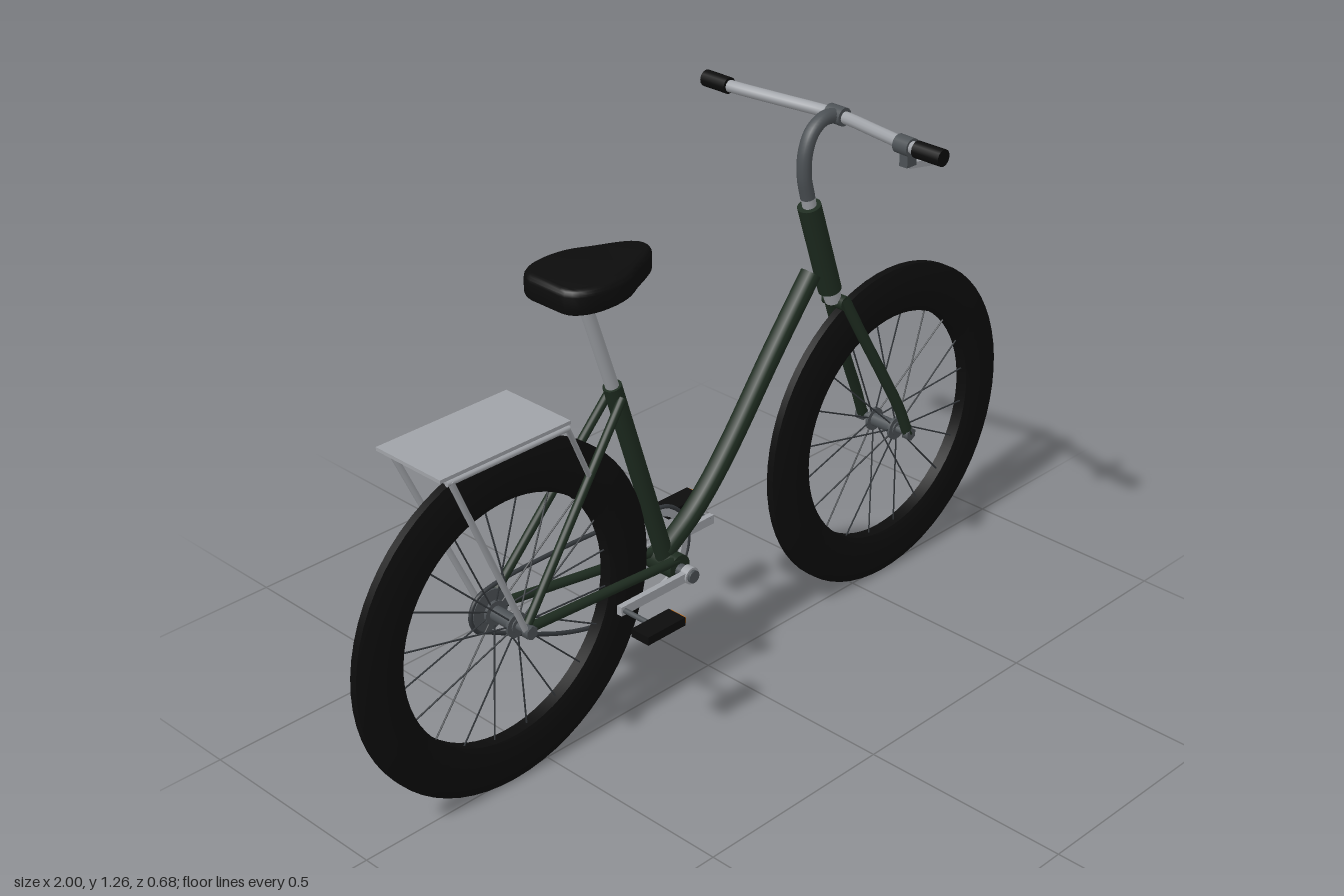
import * as THREE from 'three';
import { toCreasedNormals } from 'three/addons/utils/BufferGeometryUtils.js';

const V = (x, y, z = 0) => new THREE.Vector3(x, y, z);

export function createModel() {
  const model = new THREE.Group();
  model.name = 'bicycle';
  const material = (name, color) => {
    const m = new THREE.MeshStandardMaterial({ color });
    m.name = name;
    return m;
  };
  const rubber = material('blackRubber', 0x0c0c0c);
  const green = material('greenPaint', 0x1e2c20);
  const steel = material('lightSteel', 0xa0a3a8);
  const iron = material('darkSteel', 0x4c5155);
  const wire = material('wire', 0x34383c);
  const orange = material('orangeReflector', 0xc46a10);

  function add(name, geometry, mat, parent = model) {
    const mesh = new THREE.Mesh(geometry, mat);
    mesh.name = name;
    parent.add(mesh);
    return mesh;
  }
  // Straight round bar between two points
  function rod(name, mat, a, b, r, parent = model, sides = 16, r2 = r) {
    const d = b.clone().sub(a);
    const mesh = add(name, new THREE.CylinderGeometry(r2, r, d.length(), sides), mat, parent);
    mesh.position.copy(a).add(b).multiplyScalar(0.5);
    mesh.quaternion.setFromUnitVectors(V(0, 1, 0), d.normalize());
    return mesh;
  }
  // Curved round bar through points
  function pipe(name, mat, pts, r, closed = false, segments = 32) {
    const curve = new THREE.CatmullRomCurve3(pts, closed, 'centripetal');
    return add(name, new THREE.TubeGeometry(curve, segments, r, 12, closed), mat);
  }
  function box(name, mat, size, pos, parent = model) {
    const mesh = add(name, new THREE.BoxGeometry(...size), mat, parent);
    mesh.position.set(...pos);
    return mesh;
  }

  // Wheels: tyre, hub, flanges and spokes
  const profile = [[0.285, -0.015], [0.3, -0.021], [0.345, -0.022], [0.385, -0.015], [0.4, -0.009],
    [0.4, 0.009], [0.385, 0.015], [0.345, 0.022], [0.3, 0.021], [0.285, 0.015], [0.285, -0.015]];
  const tyre = toCreasedNormals(
    new THREE.LatheGeometry(profile.map(p => new THREE.Vector2(...p)), 64).rotateX(Math.PI / 2), 0.5);
  for (const [name, x] of [['rearWheel', -0.6], ['frontWheel', 0.6]]) {
    const wheel = new THREE.Group();
    wheel.name = name;
    wheel.position.set(x, 0.4, 0);
    model.add(wheel);
    add('tyre', tyre, rubber, wheel);
    rod('hub', iron, V(0, 0, -0.04), V(0, 0, 0.04), 0.017, wheel);
    rod('axle', iron, V(0, 0, -0.08), V(0, 0, 0.08), 0.009, wheel);
    for (const s of [-1, 1]) {
      rod('hubFlange', iron, V(0, 0, s * 0.03), V(0, 0, s * 0.037), 0.028, wheel, 24);
      rod('axleNut', iron, V(0, 0, s * 0.065), V(0, 0, s * 0.082), 0.016, wheel, 6);
    }
    for (let i = 0; i < 20; i++) {
      const a = (i + 0.5) * Math.PI / 10, c = Math.cos(a), s = Math.sin(a);
      rod('spoke', wire, V(c * 0.02, s * 0.02, i % 2 ? 0.033 : -0.033), V(c * 0.29, s * 0.29), 0.002, wheel, 5);
    }
  }

  // Frame
  pipe('downTube', green, [V(0.325, 0.88), V(0.2, 0.725), V(0.07, 0.555), V(0, 0.475), V(-0.06, 0.42), V(-0.14, 0.365)], 0.024);
  rod('seatTube', green, V(-0.135, 0.345), V(-0.285, 0.825), 0.021);
  rod('headTube', green, V(0.39, 0.82), V(0.315, 1.045), 0.027, model, 24);
  rod('bottomBracket', green, V(-0.13, 0.335, -0.04), V(-0.13, 0.335, 0.04), 0.03, model, 24);
  rod('lowerHeadRing', steel, V(0.403, 0.79), V(0.388, 0.828), 0.02);
  rod('upperHeadRing', steel, V(0.317, 1.04), V(0.308, 1.075), 0.016);
  rod('forkCrown', green, V(0.413, 0.785, -0.03), V(0.413, 0.785, 0.03), 0.017);
  for (const s of [-1, 1]) {
    rod('seatStay', green, V(-0.275, 0.8, s * 0.02), V(-0.6, 0.4, s * 0.06), 0.01);
    rod('chainStay', green, V(-0.13, 0.35, s * 0.03), V(-0.6, 0.4, s * 0.06), 0.011);
    pipe('forkBlade', green, [V(0.41, 0.8, s * 0.024), V(0.45, 0.715, s * 0.036),
      V(0.52, 0.575, s * 0.055), V(0.57, 0.475, s * 0.066), V(0.6, 0.4, s * 0.07)], 0.013);
  }

  // Saddle and its post
  rod('seatPost', steel, V(-0.28, 0.81), V(-0.37, 1.075), 0.015);
  const seat = new THREE.Shape();
  seat.moveTo(-0.195, 0);
  seat.bezierCurveTo(-0.195, 0.03, -0.26, 0.045, -0.3, 0.07);
  seat.bezierCurveTo(-0.35, 0.098, -0.45, 0.09, -0.45, 0.04);
  seat.lineTo(-0.45, -0.04);
  seat.bezierCurveTo(-0.45, -0.09, -0.35, -0.098, -0.3, -0.07);
  seat.bezierCurveTo(-0.26, -0.045, -0.195, -0.03, -0.195, 0);
  const saddle = new THREE.ExtrudeGeometry(seat, { depth: 0.028, bevelSize: 0.015, bevelThickness: 0.015, bevelSegments: 4, curveSegments: 12 });
  saddle.rotateX(-Math.PI / 2);
  add('saddle', toCreasedNormals(saddle, 0.7), rubber).position.y = 1.076;

  // Stem, handlebar, grips and brake lever
  pipe('stem', iron, [V(0.31, 1.065), V(0.297, 1.12), V(0.3, 1.175), V(0.32, 1.215), V(0.355, 1.235), V(0.4, 1.232)], 0.017);
  rod('barClamp', iron, V(0.4, 1.232, -0.022), V(0.4, 1.232, 0.022), 0.021);
  pipe('handlebar', steel, [V(0.345, 1.243, -0.33), V(0.347, 1.242, -0.265), V(0.375, 1.236, -0.14), V(0.4, 1.231, -0.03),
    V(0.4, 1.231, 0.03), V(0.375, 1.236, 0.14), V(0.347, 1.242, 0.265), V(0.345, 1.243, 0.33)], 0.014, false, 48);
  for (const s of [-1, 1]) rod('grip', rubber, V(0.345, 1.243, s * 0.27), V(0.345, 1.243, s * 0.342), 0.019);
  rod('leverClamp', iron, V(0.352, 1.24, 0.215), V(0.35, 1.24, 0.255), 0.021);
  box('leverMount', iron, [0.03, 0.045, 0.022], [0.36, 1.215, 0.235]);
  box('brakeLever', steel, [0.11, 0.014, 0.022], [0.405, 1.187, 0.235]).rotation.z = -0.18;

  // Luggage rack
  box('rackPlate', steel, [0.34, 0.008, 0.192], [-0.66, 0.853, 0]);
  for (const x of [-0.8, -0.5]) rod('rackCrossbar', steel, V(x, 0.836, -0.09), V(x, 0.836, 0.09), 0.006, model, 8);
  for (const s of [-1, 1]) {
    rod('rackSideBar', steel, V(-0.81, 0.838, s * 0.09), V(-0.49, 0.838, s * 0.09), 0.006, model, 8);
    rod('rackStrut', steel, V(-0.8, 0.84, s * 0.09), V(-0.605, 0.4, s * 0.07), 0.007, model, 8);
    rod('rackFrontStay', steel, V(-0.495, 0.84, s * 0.09), V(-0.39, 0.67, s * 0.036), 0.006, model, 8);
  }

  // Chainring with five arms
  const ring = new THREE.Shape().absarc(0, 0, 0.108, 0, Math.PI * 2);
  ring.holes.push(new THREE.Path().absarc(0, 0, 0.09, 0, Math.PI * 2, true));
  const ringGeometry = new THREE.ExtrudeGeometry(ring, { depth: 0.006, bevelEnabled: false, curveSegments: 40 });
  add('chainring', ringGeometry, steel).position.set(-0.125, 0.33, -0.053);
  for (let i = 0; i < 5; i++) {
    const a = 0.3 + i * Math.PI * 0.4;
    const arm = box('chainringArm', steel, [0.08, 0.014, 0.006], [-0.125 + Math.cos(a) * 0.055, 0.33 + Math.sin(a) * 0.055, -0.05]);
    arm.rotation.z = a;
  }
  rod('sprocket', iron, V(-0.6, 0.4, -0.053), V(-0.6, 0.4, -0.046), 0.048, model, 24);

  // Chain loop around sprocket and chainring
  const loop = [];
  for (let i = 0; i <= 6; i++) {
    const a = Math.PI * (-0.56 + i * 0.18);
    loop.push(V(-0.125 + Math.cos(a) * 0.113, 0.33 + Math.sin(a) * 0.113, -0.05));
  }
  loop.push(V(-0.35, 0.459, -0.05));
  for (let i = 0; i <= 4; i++) {
    const a = Math.PI * (0.5 + i * 0.24);
    loop.push(V(-0.6 + Math.cos(a) * 0.053, 0.4 + Math.sin(a) * 0.053, -0.05));
  }
  loop.push(V(-0.4, 0.25, -0.05), V(-0.28, 0.22, -0.05));
  pipe('chain', wire, loop, 0.005, true, 120);

  // Cranks and pedals, with reflectors on the leading edge
  rod('crankAxle', iron, V(-0.13, 0.33, -0.085), V(-0.13, 0.33, 0.085), 0.015);
  for (const s of [-1, 1]) {
    const px = -0.13 - s * 0.2;
    box('crankArm', steel, [0.22, 0.022, 0.014], [-0.13 - s * 0.1, 0.33, s * 0.067]);
    rod('crankBoss', steel, V(-0.13, 0.33, s * 0.058), V(-0.13, 0.33, s * 0.078), 0.02);
    rod('pedalAxle', iron, V(px, 0.33, s * 0.06), V(px, 0.33, s * 0.18), 0.006, model, 10);
    box('pedal', rubber, [0.11, 0.02, 0.05], [px + 0.005, 0.329, s * 0.17]);
    box('pedalReflector', orange, [0.006, 0.014, 0.044], [px + 0.062, 0.329, s * 0.17]);
  }
  return model;
}
